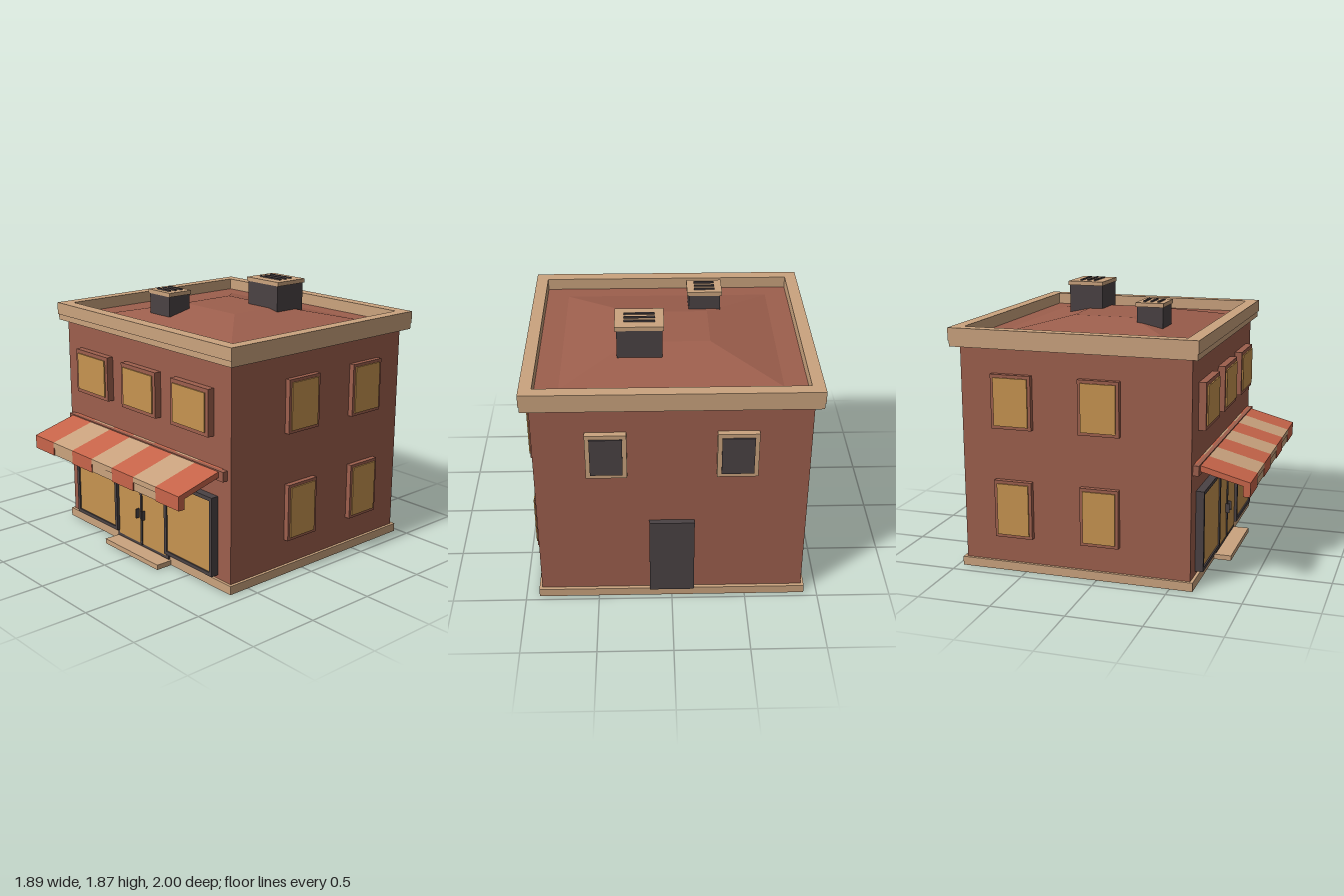
import * as THREE from 'three';

const mat = (name, color) => {
  const m = new THREE.MeshStandardMaterial({ color });
  m.name = name;
  return m;
};

export function createModel() {
  const brick = mat('brick', 0x9d5f4d);
  const sand = mat('sandstone', 0xcaa37e);
  const dark = mat('dark metal', 0x4a4244);
  const gold = mat('lit glass', 0xc79450);
  const red = mat('awning red', 0xc8654a);

  const model = new THREE.Group();
  model.name = 'shopBuilding';

  const add = (name, geometry, material, parent = model) => {
    const mesh = new THREE.Mesh(geometry, material);
    mesh.name = name;
    parent.add(mesh);
    return mesh;
  };
  // Box given by its extents on each axis
  const box = (name, material, x0, x1, y0, y1, z0, z1, parent = model) => {
    const mesh = add(name, new THREE.BoxGeometry(x1 - x0, y1 - y0, z1 - z0), material, parent);
    mesh.position.set((x0 + x1) / 2, (y0 + y1) / 2, (z0 + z1) / 2);
    return mesh;
  };
  const group = (name, parent = model) => {
    const g = new THREE.Group();
    g.name = name;
    parent.add(g);
    return g;
  };

  // Plinth, doorstep and walls
  box('plinth', sand, -0.91, 0.91, 0, 0.06, -0.965, 0.655);
  box('doorstep', sand, -0.3, 0.3, 0, 0.035, 0.6, 0.775);
  box('walls', brick, -0.89, 0.89, 0.05, 1.57, -0.94, 0.635);

  // Cornice: lower band and open parapet ring
  box('corniceBand', sand, -0.94, 0.94, 1.525, 1.565, -0.995, 0.68);
  const ring = new THREE.Shape([[-0.945, -0.687], [0.945, -0.687], [0.945, 1], [-0.945, 1]]
    .map(p => new THREE.Vector2(...p)));
  ring.holes.push(new THREE.Path([[-0.863, -0.6], [-0.863, 0.918], [0.863, 0.918], [0.863, -0.6]]
    .map(p => new THREE.Vector2(...p))));
  const parapet = new THREE.ExtrudeGeometry(ring, { depth: 0.085, bevelEnabled: false });
  parapet.rotateX(-Math.PI / 2);
  add('parapet', parapet, sand).position.y = 1.565;

  // Low hipped roof: a box with its top drawn in
  const hip = new THREE.BoxGeometry(1.42, 0.095, 1.28);
  const p = hip.attributes.position;
  for (let i = 0; i < p.count; i++) {
    if (p.getY(i) > 0) {
      p.setX(i, Math.sign(p.getX(i)) * 0.265);
      p.setZ(i, Math.sign(p.getZ(i)) * 0.21);
    }
  }
  hip.computeVertexNormals();
  add('hippedRoof', hip, brick).position.set(0, 1.6175, -0.16);

  // Roof vents with slatted caps
  const vent = (x0, x1, z0, z1, top, slatInset, slatStep) => {
    const g = group('roofVent');
    box('ventBody', dark, x0 + 0.012, x1 - 0.012, 1.56, top - 0.025, z0 + 0.006, z1 - 0.006, g);
    box('ventCap', sand, x0, x1, top - 0.028, top, z0, z1, g);
    for (const k of [-1, 0, 1]) {
      const z = (z0 + z1) / 2 + k * slatStep;
      box('ventSlat', dark, x0 + slatInset, x1 - slatInset, top, top + 0.009, z - 0.008, z + 0.008, g);
    }
  };
  vent(-0.37, -0.13, 0.105, 0.297, 1.782, 0.05, 0.05);
  vent(0.04, 0.358, -0.525, -0.268, 1.857, 0.058, 0.05);

  // Window centred on its own origin, facing +z
  const windowUnit = (name, w, h, border, frameMat, glassMat, depth) => {
    const g = group(name);
    box('windowFrame', frameMat, -w / 2, w / 2, -h / 2, h / 2, -0.01, depth, g);
    box('windowGlass', glassMat, -w / 2 + border, w / 2 - border, -h / 2 + border, h / 2 - border,
      depth, depth + 0.009, g);
    return g;
  };

  for (const x of [-0.5375, 0, 0.5375]) {
    windowUnit('frontWindow', 0.375, 0.315, 0.027, brick, gold, 0.05).position.set(x, 1.188, 0.635);
  }
  for (const side of [-1, 1]) {
    for (const z of [0.026, -0.577]) {
      for (const [y, w, h] of [[1.173, 0.28, 0.365], [0.438, 0.264, 0.395]]) {
        const win = windowUnit('sideWindow', w, h, 0.021, brick, gold, 0.036);
        win.position.set(side * 0.89, y, z);
        win.rotation.y = side * Math.PI / 2;
      }
    }
    const win = windowUnit('backWindow', 0.265, 0.325, 0.028, sand, dark, 0.043);
    win.position.set(side * 0.42, 1.175, -0.94);
    win.rotation.y = Math.PI;
  }
  box('backDoor', dark, -0.15, 0.15, 0.06, 0.635, -0.98, -0.93);

  // Open frame made of four bars
  const bars = (g, x0, x1, y0, y1, z1, t) => {
    box('frameBar', dark, x0, x0 + t, y0, y1, 0.62, z1, g);
    box('frameBar', dark, x1 - t, x1, y0, y1, 0.62, z1, g);
    box('frameBar', dark, x0 + t, x1 - t, y0, y0 + t, 0.62, z1, g);
    box('frameBar', dark, x0 + t, x1 - t, y1 - t, y1, 0.62, z1, g);
  };

  // Shop windows either side of the double door
  for (const s of [-1, 1]) {
    const g = group('shopWindow');
    const [x0, x1] = s < 0 ? [-0.765, -0.27] : [0.27, 0.765];
    bars(g, x0, x1, 0.085, 0.635, 0.69, 0.026);
    box('shopGlass', gold, x0 + 0.026, x1 - 0.026, 0.111, 0.609, 0.62, 0.68, g);
  }
  const doors = group('shopDoor');
  bars(doors, -0.29, 0.29, 0.042, 0.665, 0.668, 0.026);
  for (const s of [-1, 1]) {
    const [x0, x1] = s < 0 ? [-0.264, -0.009] : [0.009, 0.264];
    box('doorGlass', gold, x0, x1, 0.065, 0.645, 0.62, 0.672, doors);
    box('doorHandle', dark, s * 0.032 - 0.005, s * 0.032 + 0.005, 0.255, 0.322, 0.67, 0.7, doors);
  }
  box('doorMullion', dark, -0.009, 0.009, 0.06, 0.65, 0.62, 0.68, doors);

  // Striped awning with a hanging valance
  const awning = group('awning');
  box('awningRail', brick, -0.858, 0.858, 0.765, 0.832, 0.63, 0.675, awning);
  const slope = new THREE.Shape([[0.635, 0.795], [0.955, 0.712], [1, 0.702], [1, 0.738], [0.635, 0.835]]
    .map(q => new THREE.Vector2(...q)));
  const stripeWidth = 1.63 / 7;
  for (let i = 0; i < 7; i++) {
    const x = -0.815 + i * stripeWidth;
    const material = i % 2 ? sand : red;
    const inset = i % 2 ? 0.004 : 0;
    const stripe = new THREE.ExtrudeGeometry(slope, { depth: stripeWidth, bevelEnabled: false });
    stripe.rotateY(-Math.PI / 2);
    add('awningStripe', stripe, material, awning).position.x = x + stripeWidth;
    box('awningValance', material, x + inset, x + stripeWidth - inset, 0.642 + inset, 0.715,
      0.953, 0.999 - inset, awning);
  }

  return model;
}
